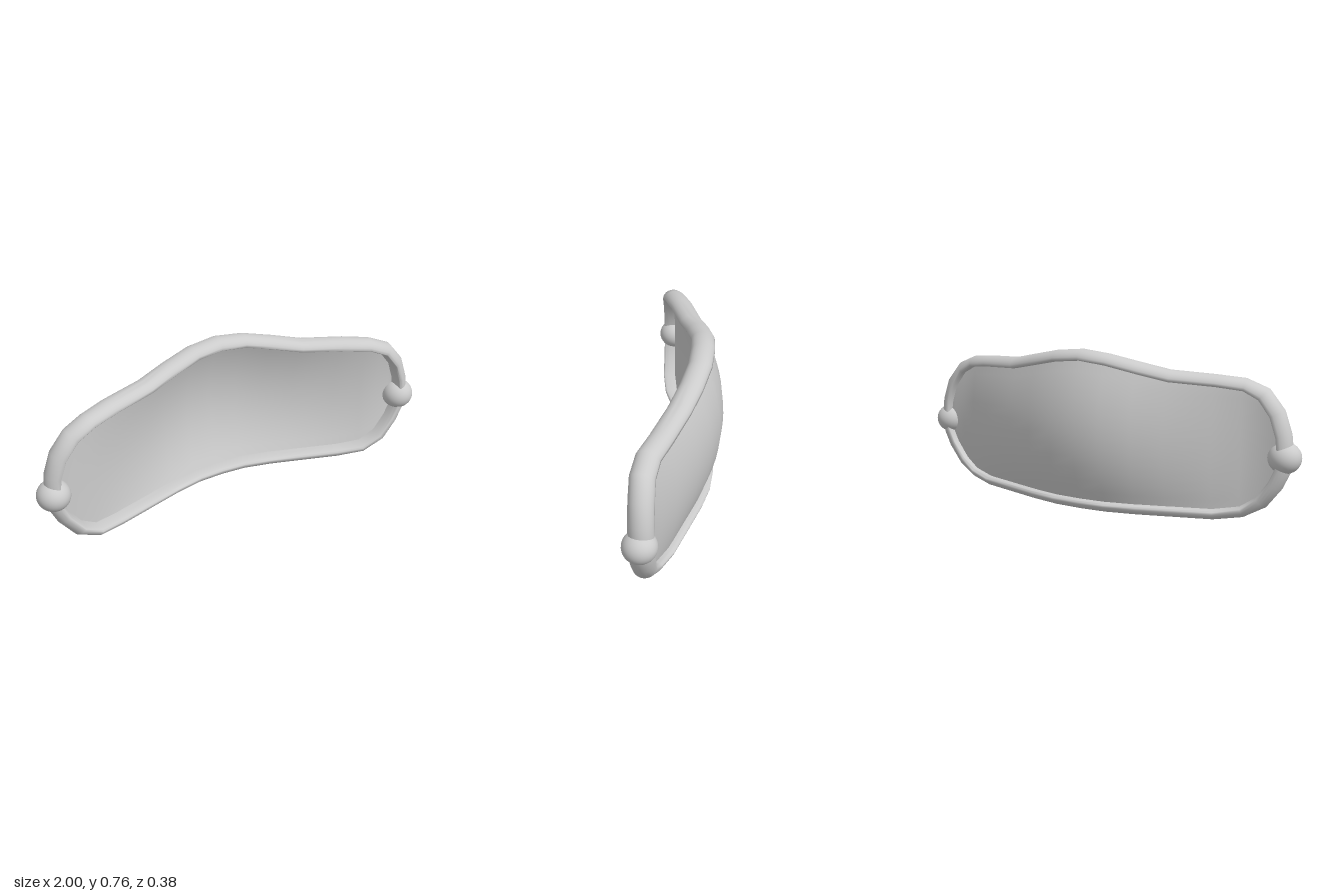
import * as THREE from 'three';
import { toCreasedNormals } from 'three/addons/utils/BufferGeometryUtils.js';

const V = (x, y, z) => new THREE.Vector3(x, y, z);

// Columns from the middle to the left end: x, lower edge y, upper edge y, depth z
const columns = [
  [0, 0.043, 0.722, -0.09], [0.13, 0.043, 0.708, -0.083], [0.27, 0.043, 0.677, -0.052],
  [0.41, 0.043, 0.645, -0.01], [0.61, 0.043, 0.631, 0.05], [0.73, 0.06, 0.617, 0.094],
  [0.81, 0.112, 0.578, 0.11], [0.87, 0.195, 0.5, 0.111], [0.9, 0.26, 0.41, 0.111],
  [0.912, 0.315, 0.315, 0.111],
];

// Joins a row of closed cross-sections into one surface
function loft(sections, closed, crease) {
  const pos = [], n = sections.length, m = sections[0].length;
  for (let i = 0; i < (closed ? n : n - 1); i++) {
    const a = sections[i], b = sections[(i + 1) % n];
    for (let j = 0; j < m; j++) {
      const k = (j + 1) % m;
      for (const p of [a[j], a[k], b[j], b[j], a[k], b[k]]) pos.push(p.x, p.y, p.z);
    }
  }
  const geo = new THREE.BufferGeometry();
  geo.setAttribute('position', new THREE.Float32BufferAttribute(pos, 3));
  return toCreasedNormals(geo, crease);
}

// Rim: rounded outside, almost flat inside, fuller round the ends
function rimGeometry() {
  const lower = columns.map(([x, y, , z]) => V(x, y, z));
  const upper = columns.slice(0, -1).reverse().map(([x, , y, z]) => V(x, y, z));
  const half = [...lower, ...upper];
  const outline = [...half, ...half.slice(1, -1).reverse().map(p => V(-p.x, p.y, p.z))];
  const n = outline.length, sides = 24;
  return loft(outline.map((p, i) => {
    const t = outline[(i + 1) % n].clone().sub(outline[(i + n - 1) % n]).normalize();
    const out = V(0, 0, 0).crossVectors(t, V(0, 0, 1)).normalize();
    const side = V(0, 0, 0).crossVectors(out, t).normalize();
    const outer = 0.043 + 0.012 * THREE.MathUtils.smoothstep(Math.abs(p.x), 0.7, 0.86);
    return Array.from({ length: sides }, (_, j) => {
      const a = 2 * Math.PI * j / sides, s = Math.sin(a);
      return p.clone().addScaledVector(out, s * (s > 0 ? outer : 0.011))
        .addScaledVector(side, 0.056 * Math.cos(a));
    });
  }), true, 1.4);
}

// Thin panel bulging backward, flatter on the right: front skin up, back skin down
function panelGeometry() {
  const rows = 12;
  const mirrored = columns.slice(1).map(([x, ...rest]) => [-x, ...rest]);
  return loft([...columns.slice().reverse(), ...mirrored].map(([x, y0, y1, z]) => {
    const front = [], back = [];
    const depth = 0.077 * (1 - (x / 0.912) ** 2) ** (x < 0 ? 2.5 : 0.9);
    for (let j = 0; j <= rows; j++) {
      const v = 2 * j / rows - 1, y = THREE.MathUtils.lerp(y0, y1, j / rows);
      const bulge = depth * (1 - v * v);
      front.push(V(x, y, z - bulge - 0.005));
      back.unshift(V(x, y, z - bulge - 0.023));
    }
    return [...front, ...back];
  }), false, 0.7);
}

export function createModel() {
  const group = new THREE.Group();
  const material = new THREE.MeshStandardMaterial({ color: 0xcccccc });
  const add = (name, geo) => {
    const mesh = new THREE.Mesh(geo, material);
    mesh.name = name;
    group.add(mesh);
    return mesh;
  };
  add('rim', rimGeometry());
  add('panel', panelGeometry());

  // Slightly flattened ball at each end of the rim
  for (const [name, s] of [['leftBall', 1], ['rightBall', -1]]) {
    const ball = add(name, new THREE.SphereGeometry(0.077, 32, 20));
    ball.scale.y = 0.94;
    ball.position.set(s * 0.923, 0.312, 0.116);
  }
  return group;
}
